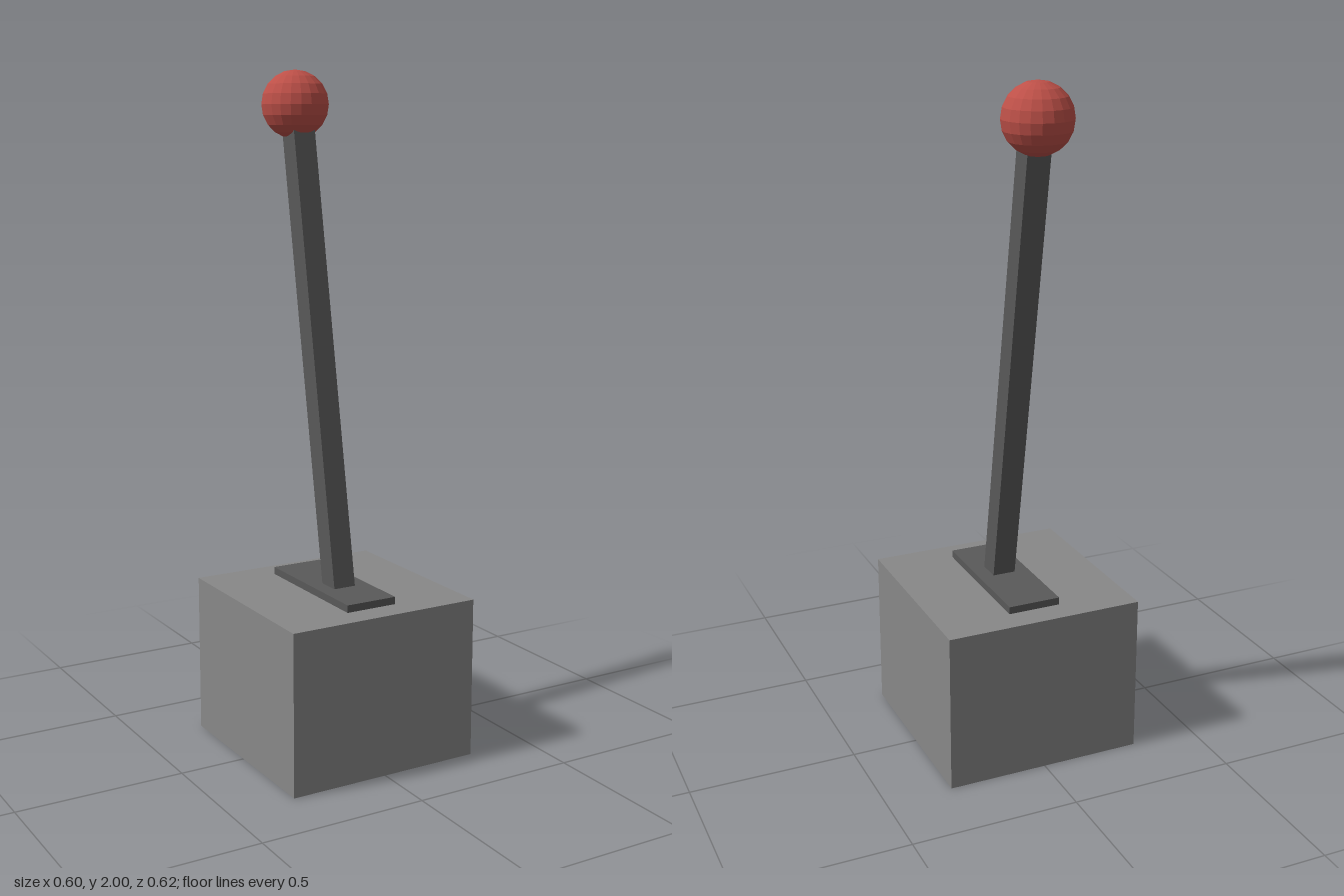
import * as THREE from 'three';

const paint = (name, color) => {
  const m = new THREE.MeshStandardMaterial({ color });
  m.name = name;
  return m;
};

export function createModel() {
  const group = new THREE.Group();
  group.name = 'lever';
  const grey = paint('grey', 0x888888);
  const darkGrey = paint('dark grey', 0x595959);
  const red = paint('red', 0xbd5048);

  const add = (name, geometry, material, x, y, z) => {
    const mesh = new THREE.Mesh(geometry, material);
    mesh.name = name;
    mesh.position.set(x, y, z);
    group.add(mesh);
    return mesh;
  };

  // Block and the slot plate on top of it
  add('base', new THREE.BoxGeometry(0.6, 0.48, 0.6), grey, 0, 0.24, 0.01);
  add('slotPlate', new THREE.BoxGeometry(0.16, 0.022, 0.44), darkGrey, 0, 0.491, 0.01);

  // Square rod, leaning back ten degrees, with its foot sunk in the base
  const tilt = THREE.MathUtils.degToRad(10);
  const length = 1.42;
  const rod = new THREE.BoxGeometry(0.07, length, 0.07).translate(0, length / 2, 0);
  add('rod', rod, darkGrey, 0, 0.48, 0.048).rotation.x = -tilt;

  // Faceted ball knob
  const ball = new THREE.SphereGeometry(0.1, 20, 10).toNonIndexed();
  ball.computeVertexNormals();
  add('knob', ball, red, 0, 1.9, -0.21);

  return group;
}
